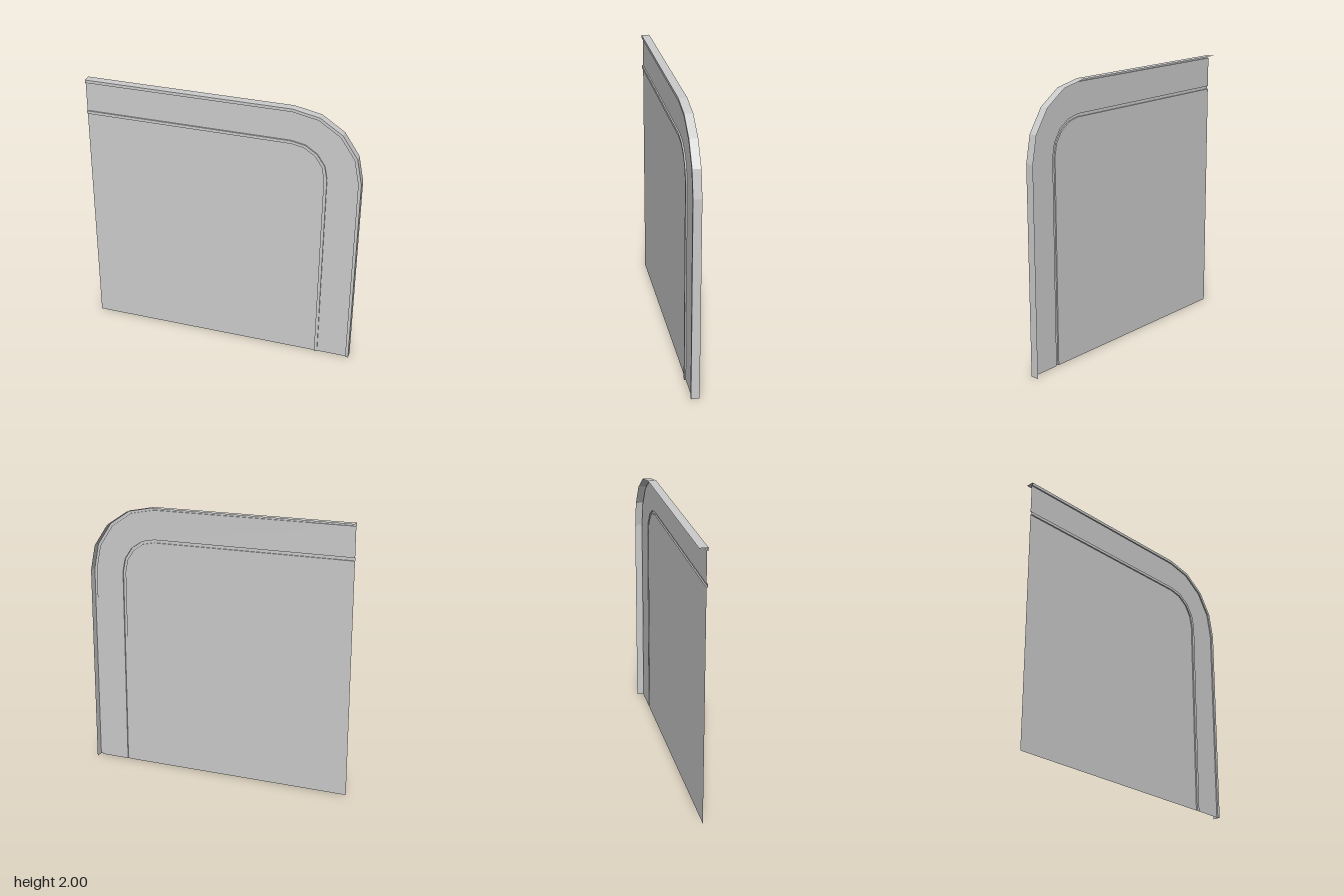
import * as THREE from 'three';

const FRONT = 0.03, SHEET = 0.02, BACK = -0.03; // depths of raised strips, sheet and flange edge
const CX = 0.5, CY = 1.5, SEGMENTS = 4; // shared centre of all corner arcs

const material = new THREE.MeshStandardMaterial({ color: 0xcccccc, flatShading: true, side: THREE.DoubleSide });

// Outline at distance r from the corner centre: left end, faceted corner, bottom end
function outline(r) {
  const points = [new THREE.Vector2(-1, CY + r)];
  for (let i = 0; i <= SEGMENTS; i++) {
    const a = (Math.PI / 2) * (1 - i / SEGMENTS);
    points.push(new THREE.Vector2(CX + r * Math.cos(a), CY + r * Math.sin(a)));
  }
  points.push(new THREE.Vector2(CX + r, 0));
  return points;
}

// Sweep a profile of [r, z] pairs along the outline
function sweep(name, profile) {
  const rows = profile.map(([r, z]) => outline(r).map((p) => [p.x, p.y, z]));
  const positions = [];
  for (let j = 0; j < rows.length - 1; j++) {
    for (let i = 0; i < rows[j].length - 1; i++) {
      const a = rows[j][i], b = rows[j + 1][i], c = rows[j][i + 1], d = rows[j + 1][i + 1];
      positions.push(...a, ...c, ...b, ...b, ...c, ...d);
    }
  }
  const geometry = new THREE.BufferGeometry();
  geometry.setAttribute('position', new THREE.Float32BufferAttribute(positions, 3));
  geometry.computeVertexNormals();
  const mesh = new THREE.Mesh(geometry, material);
  mesh.name = name;
  return mesh;
}

export function createModel() {
  const group = new THREE.Group();
  group.name = 'roundedPanel';

  // Flat sheet inside the bead
  const shape = new THREE.Shape([...outline(0.238), new THREE.Vector2(-1, 0)]);
  const panel = new THREE.Mesh(new THREE.ShapeGeometry(shape), material);
  panel.name = 'mainPanel';
  panel.position.z = SHEET;
  group.add(panel);

  // Pressed bead, border band, raised rim and the flange turned to the back
  group.add(
    sweep('bead', [[0.238, SHEET], [0.238, FRONT], [0.26, FRONT], [0.26, SHEET]]),
    sweep('borderBand', [[0.26, SHEET], [0.478, SHEET]]),
    sweep('rim', [[0.478, SHEET], [0.478, FRONT], [0.5, FRONT]]),
    sweep('flange', [[0.5, FRONT], [0.5, BACK]])
  );
  return group;
}
